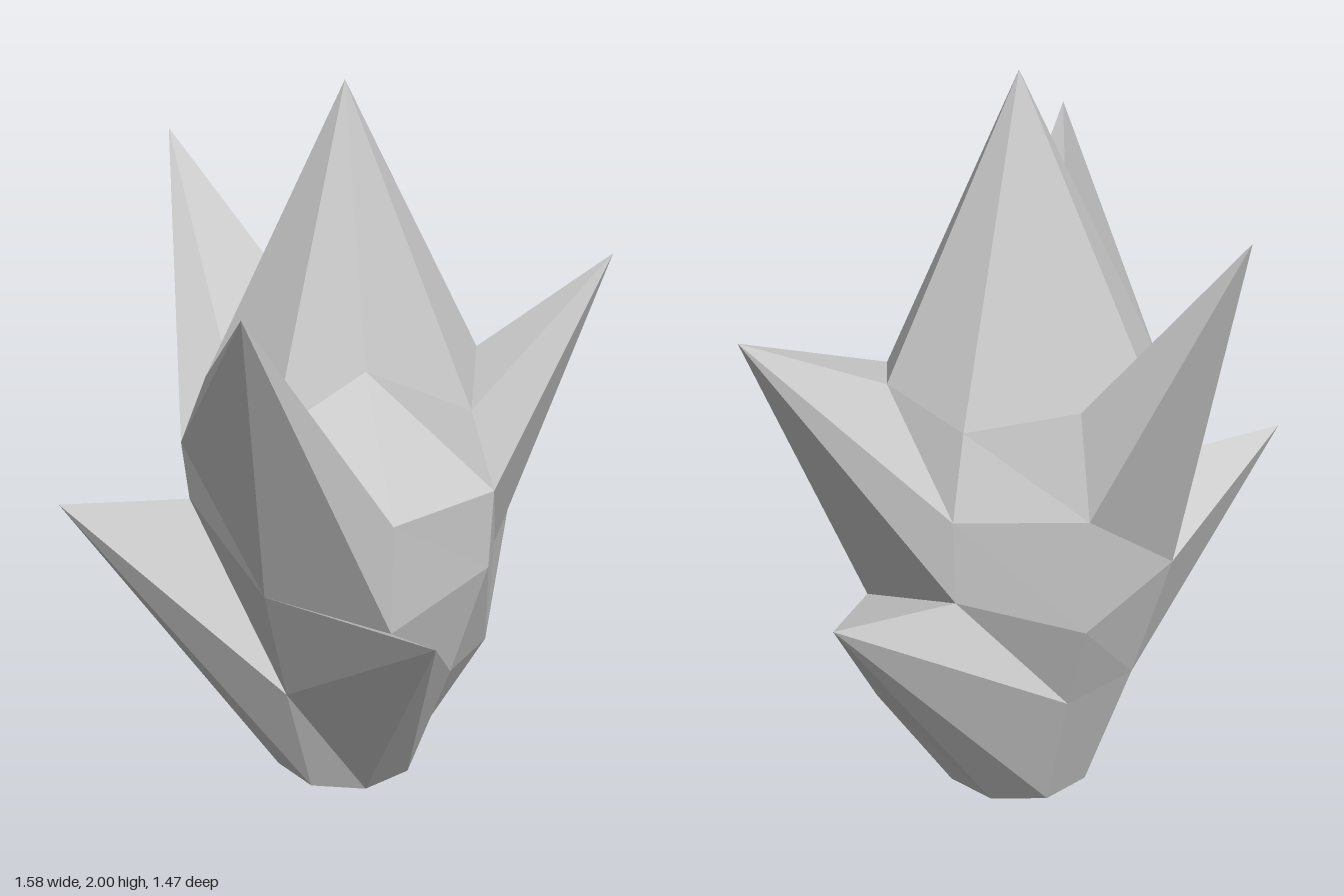
import * as THREE from 'three';

const SIDES = 8;
const AXIS_Z = -0.085;

// Eight-sided ring; index 0 faces the front and 2 faces +x.
// Corners alternate between a straight and a diagonal radius and height;
// 'moved' replaces single corners, drawing them out into leaf tips.
function ring(straight, diagonal, moved = {}) {
  return Array.from({ length: SIDES }, (_, k) => {
    if (moved[k]) return moved[k];
    const [r, y] = k % 2 ? diagonal : straight;
    const a = (k * Math.PI * 2) / SIDES;
    return [r * Math.sin(a), y, AXIS_Z + r * Math.cos(a)];
  });
}

export function createModel() {
  const rings = [
    // flat base
    ring([0.2, 0], [0.2, 0]),
    // lower leaves: front, back left, right
    ring([0.33, 0.36], [0.33, 0.36], {
      0: [0, 0.775, 0.73],
      2: [0.415, 0.31, AXIS_Z],
      3: [0.72, 0.82, -0.62],
      6: [-0.79, 0.9, AXIS_Z],
    }),
    // waist between the leaf rows
    ring([0.436, 0.62], [0.438, 0.71], { 6: [-0.436, 0.87, AXIS_Z] }),
    // upper leaves: left, back right, front right
    ring([0.45, 0.94], [0.45, 0.94], {
      2: [0.79, 1.415, -0.17],
      5: [-0.325, 1.7, -0.735],
      6: [-0.455, 1.04, AXIS_Z],
      7: [-0.46, 1.675, 0.65],
    }),
    // foot of the central point, dented at the front
    ring([0.39, 1.215], [0.378, 1.158], {
      0: [0, 1.27, 0.11],
      2: [0.375, 1.215, -0.1],
      6: [-0.38, 1.215, -0.1],
    }),
  ];
  const apex = [0, 2, AXIS_Z];
  const baseCentre = [0, 0, AXIS_Z];

  const points = [];
  const triangle = (...corners) => corners.forEach((p) => points.push(...p));
  for (let k = 0; k < SIDES; k++) {
    const n = (k + 1) % SIDES;
    triangle(baseCentre, rings[0][n], rings[0][k]);
    for (let i = 0; i < rings.length - 1; i++) {
      const lo = rings[i], hi = rings[i + 1];
      triangle(lo[k], lo[n], hi[k]);
      triangle(lo[n], hi[n], hi[k]);
    }
    const top = rings[rings.length - 1];
    triangle(top[k], top[n], apex);
  }

  const geometry = new THREE.BufferGeometry();
  geometry.setAttribute('position', new THREE.Float32BufferAttribute(points, 3));
  geometry.computeVertexNormals();

  const plant = new THREE.Mesh(
    geometry,
    new THREE.MeshStandardMaterial({ color: 0xcccccc, flatShading: true })
  );
  plant.name = 'spikyPlant';

  const group = new THREE.Group();
  group.name = 'plant';
  group.add(plant);
  return group;
}
